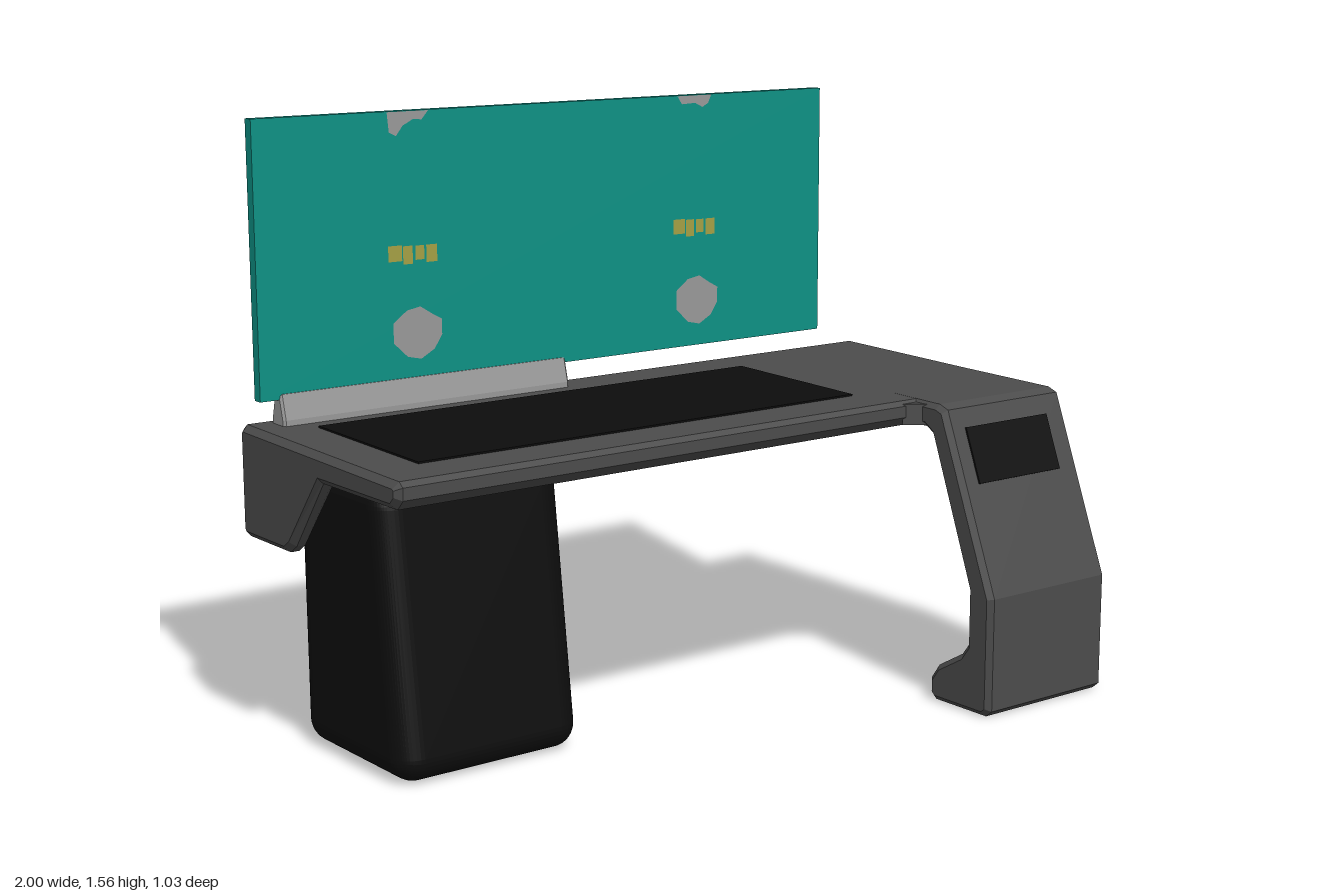
import * as THREE from 'three';
import { RoundedBoxGeometry } from 'three/addons/geometries/RoundedBoxGeometry.js';

const mat = (name, color, side = THREE.FrontSide) => {
  const m = new THREE.MeshStandardMaterial({ color, side });
  m.name = name;
  return m;
};

// Extrudes a [z, y] profile along x with chamfered ends
function extrudeX(profile, x0, x1, bevel) {
  const shape = new THREE.Shape(profile.map(([z, y]) => new THREE.Vector2(-z, y)));
  const g = new THREE.ExtrudeGeometry(shape, {
    depth: x1 - x0 - 2 * bevel, bevelEnabled: bevel > 0, bevelSegments: 1,
    bevelSize: bevel, bevelThickness: bevel, bevelOffset: -bevel,
  });
  return g.rotateY(Math.PI / 2).translate(x0 + bevel, 0, 0);
}

export function createModel() {
  const group = new THREE.Group();
  group.name = 'desk';
  const dark = mat('dark grey body', 0x4c4c4c);
  const black = mat('black', 0x0d0d0d);
  const teal = mat('teal screen', 0x0e9185);
  const grey = mat('light grey', 0x999999, THREE.DoubleSide);
  const gold = mat('gold', 0xa5a044, THREE.DoubleSide);

  const add = (name, geometry, material) => {
    const m = new THREE.Mesh(geometry, material);
    m.name = name;
    group.add(m);
    return m;
  };

  // Gently sloping worktop
  add('worktop', extrudeX([
    [-0.515, 0.80], [-0.515, 0.75], [-0.495, 0.73], [0.2, 0.73],
    [0.225, 0.755], [0.225, 0.785], [0.21, 0.797], [-0.5, 0.812],
  ], -1, 1, 0.016), dark);

  // Small fillet where the worktop meets the leg
  const corner = new THREE.Shape([[0.53, -0.22], [0.58, -0.20], [0.58, -0.26], [0.572, -0.25]]
    .map(([x, y]) => new THREE.Vector2(x, y)));
  add('cornerFillet', new THREE.ExtrudeGeometry(corner, { depth: 0.055, bevelEnabled: false })
    .rotateX(-Math.PI / 2).translate(0, 0.735, 0), dark);

  // Bent leg with a foot curling back
  add('bentLeg', extrudeX([
    [0, 0.801], [0.3, 0.796], [0.33, 0.785], [0.515, 0.32], [0.515, 0.02], [0.495, 0.003],
    [0.31, 0.003], [0.292, 0.02], [0.292, 0.06], [0.32, 0.1], [0.405, 0.15],
    [0.427, 0.18], [0.427, 0.33], [0.28, 0.715], [0.255, 0.731], [0, 0.731],
  ], 0.572, 1, 0.014), dark);

  // Tapered bracket under the rear corner
  add('sideBracket', extrudeX([
    [-0.515, 0.77], [-0.515, 0.545], [-0.5, 0.53], [-0.3, 0.53], [-0.27, 0.55], [-0.1, 0.77],
  ], -1, -0.945, 0.016), dark);

  // Cabinet, its front leaning back towards the top
  const cabinet = new RoundedBoxGeometry(0.525, 0.725, 0.48, 6, 0.065);
  cabinet.translate(-0.637, 0.368, 0.24);
  const p = cabinet.attributes.position;
  for (let i = 0; i < p.count; i++) {
    const depth = 1.02 - 0.2 * (p.getY(i) / 0.73);
    p.setZ(i, -0.43 + p.getZ(i) * depth);
  }
  cabinet.computeVertexNormals();
  add('cabinet', cabinet, black);

  // Inset work surface and leg display
  const pad = add('workPad', new THREE.BoxGeometry(1.33, 0.006, 0.46), black);
  pad.position.set(-0.195, 0.806, -0.14);
  pad.rotation.x = 0.0205;
  const display = add('legDisplay', new THREE.BoxGeometry(0.295, 0.15, 0.008), black);
  display.position.set(0.777, 0.667, 0.378);
  display.rotation.x = -0.378;

  // Screen and its tapered holder
  add('screenHolder', extrudeX([
    [-0.484, 0.805], [-0.484, 0.825], [-0.468, 0.888], [-0.438, 0.888], [-0.422, 0.825], [-0.422, 0.805],
  ], -0.925, -0.075, 0.006), grey);
  add('screen', new THREE.BoxGeometry(1.785, 0.685, 0.028), teal).position.set(-0.085, 1.217, -0.455);

  // Flat marks on the screen faces
  const zFront = -0.438, zBack = -0.472;
  const mark = (name, points, x, y, z, material) =>
    add(name, new THREE.ShapeGeometry(new THREE.Shape(points.map(([a, b]) => new THREE.Vector2(a, b)))), material)
      .position.set(x, y, z);
  const blob = [[-0.07, 0.03], [-0.03, 0.06], [0.01, 0.067], [0.045, 0.045], [0.073, 0.03],
    [0.073, -0.01], [0.05, -0.045], [0.01, -0.067], [-0.03, -0.058], [-0.07, -0.02]];
  const dash = (w, h) => [[-w, -h], [w, -h], [w, h], [-w, h]];
  for (const z of [zFront, zBack]) {
    for (const x of [-0.53, 0.365]) {
      mark('roundMark', blob, x, 1.0, z, grey);
      [[-0.055, 0.006, 0.02, 0.02], [-0.018, 0, 0.014, 0.023], [0.017, 0.004, 0.013, 0.018], [0.052, 0, 0.016, 0.022]]
        .forEach(([dx, dy, w, h]) => mark('goldMark', dash(w, h), x - 0.005 + dx, 1.2 + dy, z, gold));
    }
  }
  // Marks cut off by the top edge
  mark('upperMark', [[-0.06, 0], [-0.055, -0.05], [-0.035, -0.06], [-0.015, -0.035], [0.015, -0.02], [0.04, -0.022], [0.06, 0]],
    -0.545, 1.558, zFront, grey);
  mark('upperMark', [[-0.06, 0], [-0.045, -0.022], [0, -0.02], [0.025, -0.032], [0.045, -0.022], [0.055, 0]],
    0.36, 1.558, zFront, grey);

  return group;
}
